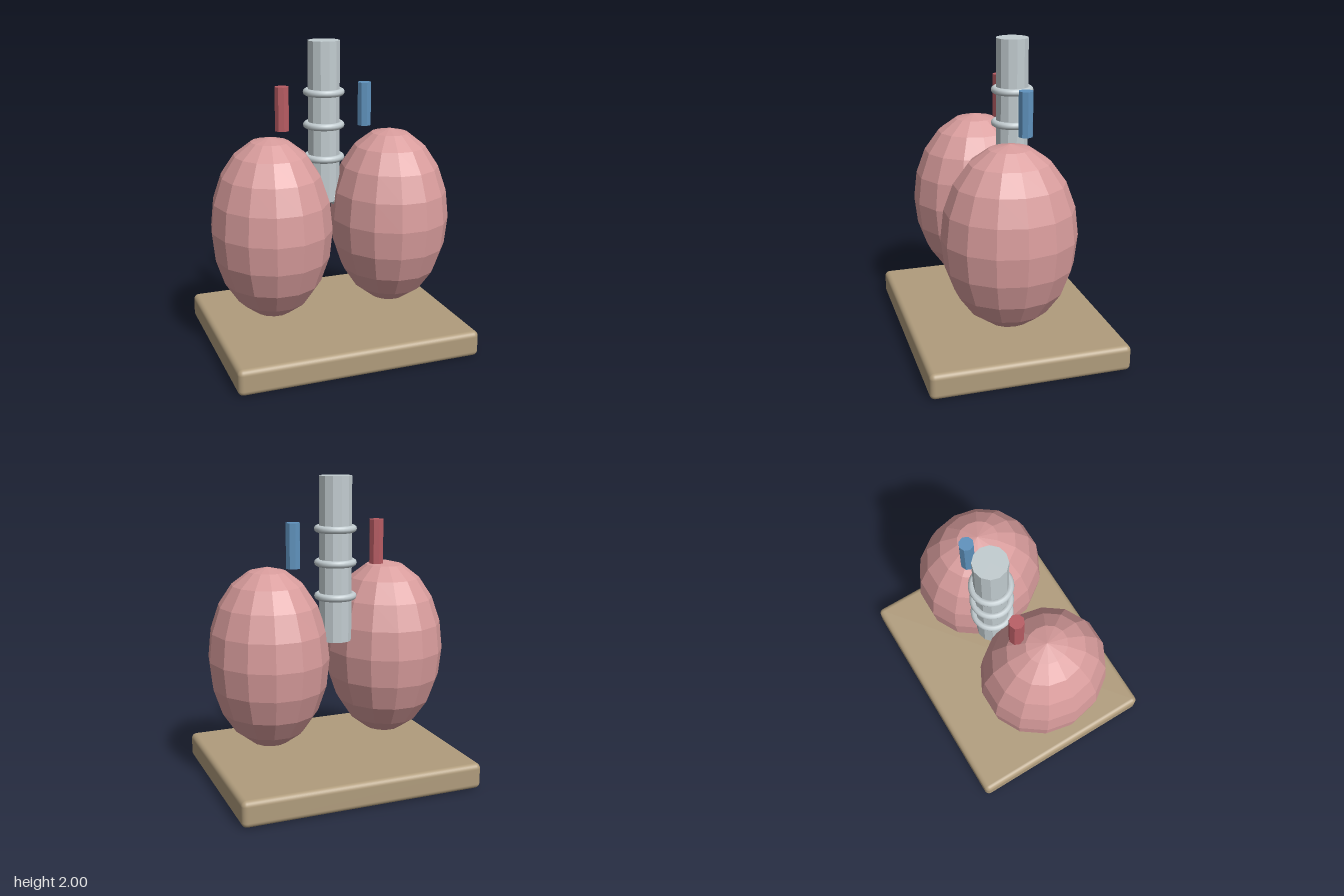
import * as THREE from 'three';
import { RoundedBoxGeometry } from 'three/addons/geometries/RoundedBoxGeometry.js';

const material = (color, flatShading = false) => {
  const m = new THREE.MeshStandardMaterial({ color });
  m.flatShading = flatShading;
  return m;
};

export function createModel() {
  const group = new THREE.Group();
  const add = (name, geometry, mat, x, y, z) => {
    const mesh = new THREE.Mesh(geometry, mat);
    mesh.name = name;
    mesh.position.set(x, y, z);
    group.add(mesh);
    return mesh;
  };

  const lungMat = material(0xd89c9c, true);
  const airwayMat = material(0xc2ccd0, true);
  const ringMat = material(0xc2ccd0);
  const airwayZ = -0.1;

  // Display base with softened edges
  add('base', new RoundedBoxGeometry(1.61, 0.17, 1.29, 4, 0.035), material(0xb09c7c), 0, 0.085, 0);

  // Windpipe and its cartilage rings
  add('windpipe', new THREE.CylinderGeometry(0.105, 0.105, 1.05, 12), airwayMat, 0, 1.475, airwayZ);
  for (const y of [1.24, 1.455, 1.67]) {
    const ring = add('windpipeRing', new THREE.TorusGeometry(0.113, 0.023, 10, 32), ringMat, 0, y, airwayZ);
    ring.rotation.x = Math.PI / 2;
  }

  for (const [side, s, color] of [['left', 1, 0x5f92bd], ['right', -1, 0xb85c63]]) {
    // Faceted egg-shaped lung
    const lung = new THREE.SphereGeometry(1, 14, 10).scale(0.39, 0.593, 0.43);
    add(side + 'Lung', lung, lungMat, s * 0.41, 0.837, 0.04);

    // Bronchus branching from the windpipe into the lung
    const path = new THREE.LineCurve3(new THREE.Vector3(0, 1.01, -0.07), new THREE.Vector3(s * 0.28, 0.82, 0.03));
    add(side + 'Bronchus', new THREE.TubeGeometry(path, 1, 0.05, 10), airwayMat, 0, 0, 0);

    // Blood vessel above the lung
    const vessel = new THREE.CylinderGeometry(0.047, 0.047, 0.285, 8);
    add(side + 'Vessel', vessel, material(color, true), s * 0.285, 1.575, airwayZ);
  }
  return group;
}
